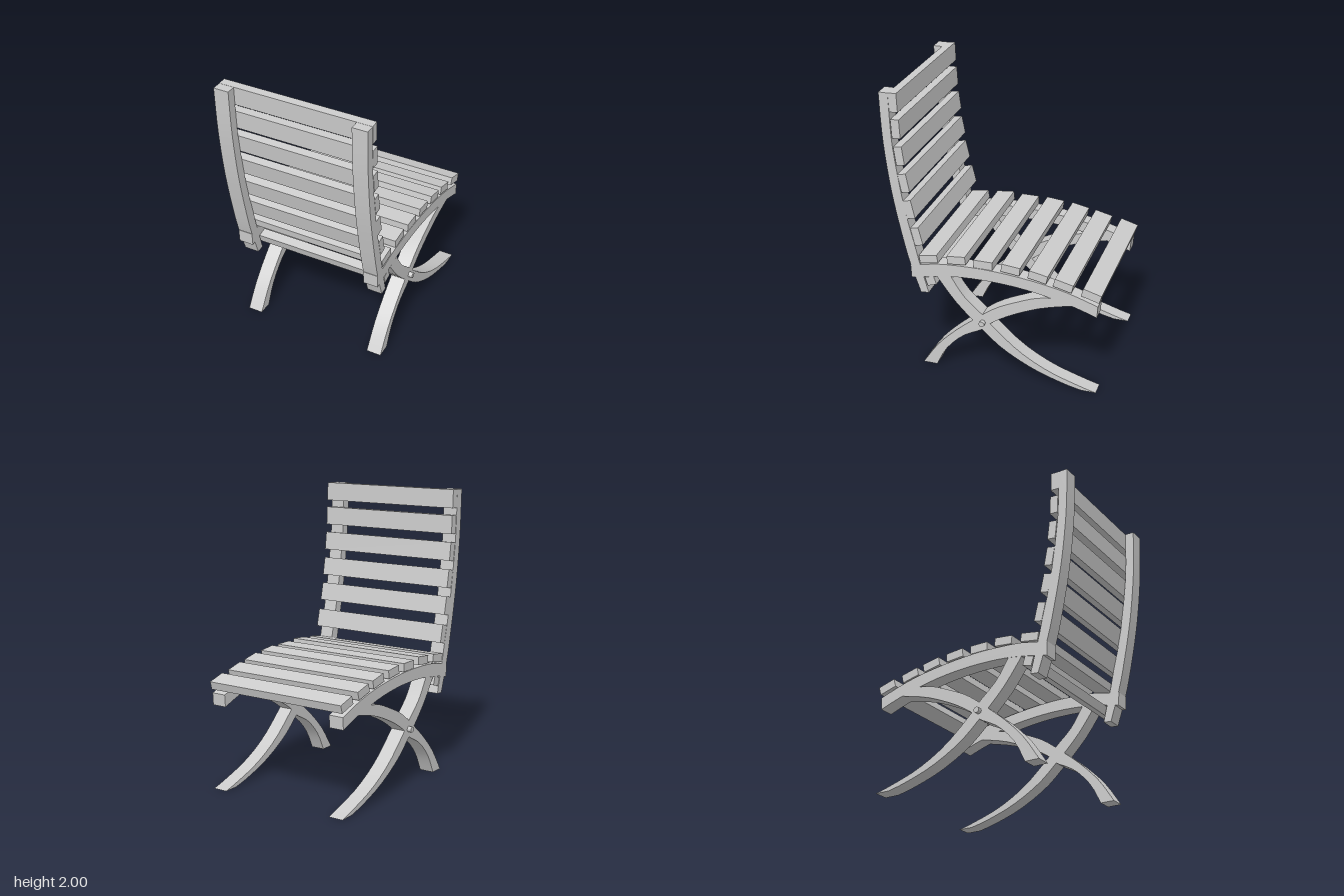
import * as THREE from 'three';
import { toCreasedNormals } from 'three/addons/utils/BufferGeometryUtils.js';

const material = new THREE.MeshStandardMaterial({ color: 0xcccccc });
const OUTER = 0.534;  // half width of the chair
const BEAM = 0.106;   // thickness of the side timbers

const smooth = (pts) =>
  new THREE.SplineCurve(pts.map(([z, y]) => new THREE.Vector2(z, y))).getPoints(20);

// Curved timber: two edge curves in the (z, y) plane, extruded along x
function timber(edgeA, edgeB) {
  const shape = new THREE.Shape([...smooth(edgeA), ...smooth(edgeB).reverse()]);
  const geo = new THREE.ExtrudeGeometry(shape, { depth: BEAM, bevelEnabled: false });
  geo.rotateY(-Math.PI / 2).translate(BEAM / 2, 0, 0);
  return toCreasedNormals(geo, 0.4);
}

const sideParts = {
  backPost: timber(
    [[0.692, 2], [0.682, 1.7], [0.66, 1.5], [0.632, 1.31], [0.594, 1.11], [0.55, 0.93], [0.52, 0.8], [0.46, 0.573]],
    [[0.756, 2], [0.745, 1.71], [0.719, 1.45], [0.687, 1.236], [0.639, 0.997], [0.592, 0.8], [0.517, 0.568]]),
  seatRail: timber(
    [[0.586, 0.77], [0.51, 0.782], [0.353, 0.812], [0.06, 0.822], [-0.23, 0.8], [-0.496, 0.753], [-0.729, 0.679]],
    [[0.581, 0.674], [0.46, 0.7], [0.247, 0.732], [-0.02, 0.737], [-0.284, 0.711], [-0.549, 0.652], [-0.724, 0.594]]),
  rearFootLeg: timber(
    [[0.517, 0], [0.406, 0.164], [0.273, 0.302], [0.14, 0.414], [-0.019, 0.536], [-0.178, 0.615], [-0.31, 0.668], [-0.432, 0.69]],
    [[0.416, 0], [0.342, 0.143], [0.22, 0.27], [0.077, 0.35], [0.019, 0.408], [-0.125, 0.499], [-0.337, 0.594], [-0.549, 0.652]]),
  frontFootLeg: timber(
    [[0.294, 0.727], [0.204, 0.589], [0.072, 0.467], [0.019, 0.408], [-0.178, 0.233], [-0.39, 0.111], [-0.602, 0.037], [-0.735, 0]],
    [[0.395, 0.711], [0.273, 0.546], [0.14, 0.408], [0.077, 0.35], [-0.072, 0.223], [-0.284, 0.106], [-0.496, 0.032], [-0.629, 0]]),
};

// Slats: [z, y, tilt]
const seatSlats = [
  [0.454, 0.835, 0.16], [0.255, 0.857, 0.1], [0.064, 0.854, 0], [-0.127, 0.851, -0.1],
  [-0.316, 0.828, -0.2], [-0.491, 0.793, -0.24], [-0.682, 0.751, -0.28],
];
const backSlats = [
  [0.66, 1.937, 0.04], [0.65, 1.757, 0.05], [0.634, 1.568, 0.13],
  [0.61, 1.377, 0.19], [0.581, 1.188, 0.22], [0.533, 0.993, 0.24],
];

export function createModel() {
  const model = new THREE.Group();
  model.name = 'slattedChair';

  const add = (parent, name, geo) => {
    const mesh = new THREE.Mesh(geo, material);
    mesh.name = name;
    parent.add(mesh);
    return mesh;
  };

  // Two side frames: post, rail, crossed legs and pivot pin
  for (const [label, s] of [['left', 1], ['right', -1]]) {
    const side = new THREE.Group();
    side.name = label + 'SideFrame';
    side.position.x = s * (OUTER - BEAM / 2) - 0.004;
    for (const [name, geo] of Object.entries(sideParts)) add(side, name, geo);
    const pin = add(side, 'pivotPin', new THREE.CylinderGeometry(0.02, 0.02, BEAM + 0.028, 20));
    pin.rotation.z = Math.PI / 2;
    pin.position.set(s * 0.015, 0.407, 0.072);
    model.add(side);
  }

  // Cross slats of seat and back
  const slat = (name, z, y, angle, height, depth) => {
    const mesh = add(model, name, new THREE.BoxGeometry(2 * OUTER, height, depth));
    mesh.position.set(-0.004, y, z);
    mesh.rotation.x = angle;
  };
  for (const [z, y, tilt] of seatSlats) slat('seatSlat', z, y, tilt, 0.058, 0.13);
  for (const [z, y, tilt] of backSlats) slat('backSlat', z, y, tilt - Math.PI / 2, 0.058, 0.13);

  // Square stretcher below the rear of the seat
  slat('rearStretcher', 0.443, 0.668, 0.3, 0.064, 0.066);

  return model;
}
